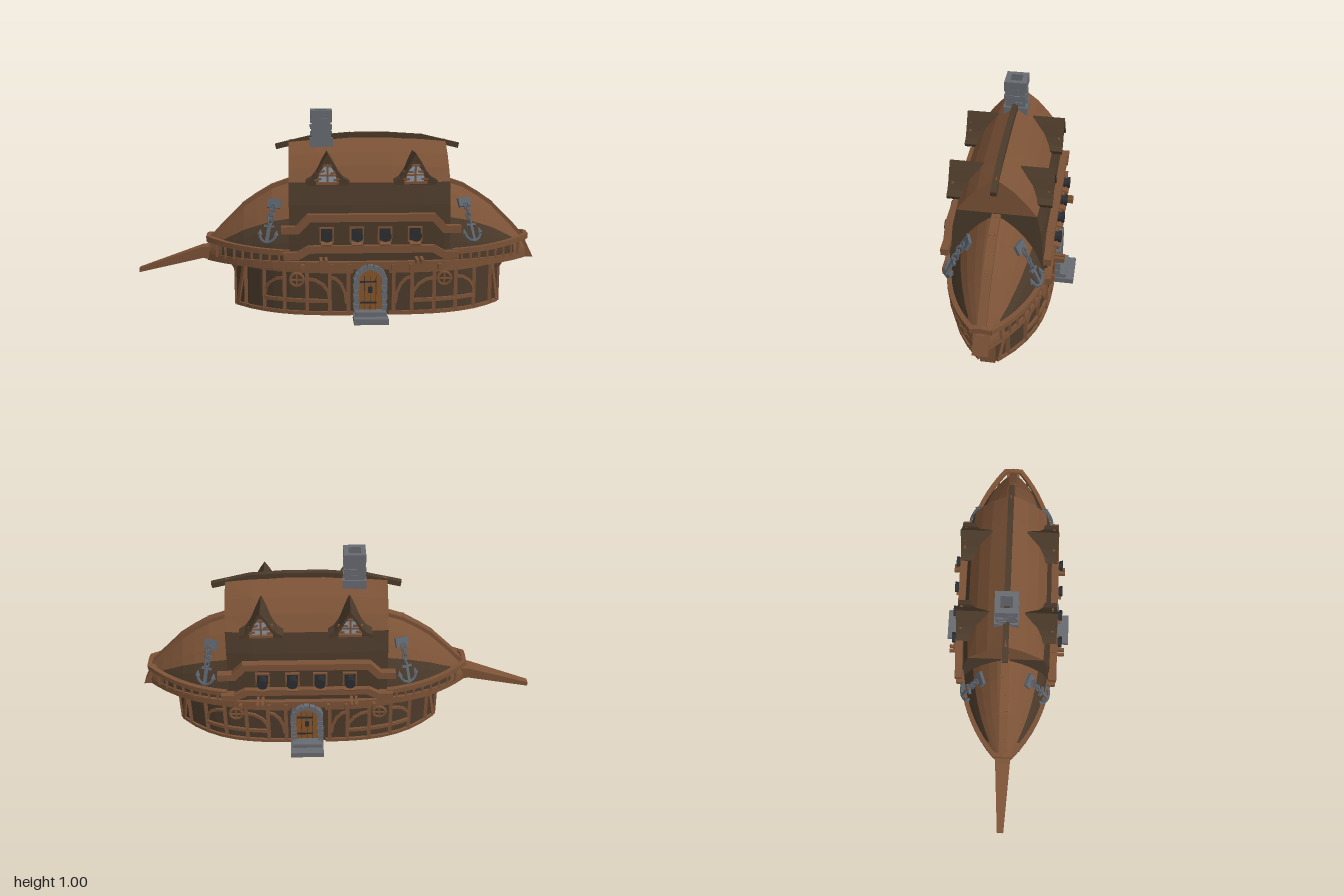
import * as THREE from 'three';

const CX = 0.155; // middle of the ship along x
const paint = (name, color) => new THREE.MeshStandardMaterial({ name, color, side: THREE.DoubleSide });
const wood = paint('brown timber', 0x7b5236), dark = paint('dark planks', 0x4b3a2a);
const stone = paint('grey stone', 0x676a70), iron = paint('black iron', 0x2b2d30);
const steel = paint('anchor steel', 0x5c636c), glass = paint('window glass', 0x8c98a6);
const doorWood = paint('door wood', 0x885529);

function add(parent, name, geo, mat, x = 0, y = 0, z = 0) {
  const m = new THREE.Mesh(geo, mat);
  m.name = name;
  m.position.set(x, y, z);
  parent.add(m);
  return m;
}
const box = (p, name, mat, w, h, d, x, y, z) => add(p, name, new THREE.BoxGeometry(w, h, d), mat, x, y, z);

// Square beam between two points, and a chain of them
function beam(p, name, mat, a, b, w, h) {
  const A = new THREE.Vector3(...a), B = new THREE.Vector3(...b);
  const m = box(p, name, mat, w, h, A.distanceTo(B) + w * 0.4, 0, 0, 0);
  m.position.copy(A).lerp(B, 0.5);
  m.lookAt(B);
  return m;
}
const path = (p, name, mat, pts, w, h) => pts.slice(1).forEach((q, i) => beam(p, name, mat, pts[i], q, w, h));

// Surface through rows of points, with hard facets
function loft(p, name, mat, rows) {
  const v = [];
  for (let i = 0; i + 1 < rows.length; i++) for (let j = 0; j + 1 < rows[i].length; j++) {
    const a = rows[i][j], b = rows[i + 1][j], c = rows[i + 1][j + 1], d = rows[i][j + 1];
    v.push(...a, ...b, ...c, ...a, ...c, ...d);
  }
  const g = new THREE.BufferGeometry();
  g.setAttribute('position', new THREE.Float32BufferAttribute(v, 3));
  g.computeVertexNormals();
  return add(p, name, g, mat);
}
const shapeOf = pts => new THREE.Shape(pts.map(q => new THREE.Vector2(...q)));
const extrude = (s, depth) => new THREE.ExtrudeGeometry(s, { depth, bevelEnabled: false, curveSegments: 8 });

// Half width of the boat-shaped plan at x
const width = (x, L, W) => 0.03 + (W - 0.03) * (1 - Math.min(1, Math.abs((x - CX) / L)) ** 3.5);
function outline(L, W, n = 20) {
  const top = [];
  for (let i = 0; i <= n; i++) {
    const x = CX - L * Math.cos(Math.PI * i / n);
    top.push([x, width(x, L, W)]);
  }
  return [...top, ...top.slice().reverse().map(([x, z]) => [x, -z])];
}
const wallZ = x => width(x, 0.67, 0.235);

// Height of the hull ridge by distance from the middle
const RIDGE = [[0.36, 0.655], [0.395, 0.65], [0.48, 0.62], [0.555, 0.575], [0.62, 0.53], [0.675, 0.475], [0.73, 0.42], [0.775, 0.37], [0.8, 0.34]];
function hullPoint([d, h], s, v) {
  return [CX + s * d, 0.285 + (h - 0.285) * v, width(CX + d, 0.81, 0.232) * (1 - v * v) ** 0.8];
}
const ROOF = [[0.285, 0.225], [0.45, 0.222], [0.56, 0.213], [0.665, 0.19], [0.74, 0.145], [0.8, 0.09], [0.868, 0]];

function buildAnchor(p, s) {
  const g = new THREE.Group();
  g.name = 'anchor';
  box(g, 'anchorPlate', steel, 0.065, 0.045, 0.015, 0, 0.2, 0);
  for (let i = 0; i < 4; i++) {
    const l = add(g, 'chainLink', new THREE.TorusGeometry(0.014, 0.005, 5, 8), steel, 0, 0.175 - i * 0.024, 0.014);
    l.scale.y = 1.3;
    l.rotation.y = i % 2 ? 1.1 : 0.2;
  }
  box(g, 'anchorShank', steel, 0.014, 0.1, 0.014, 0, 0.045, 0.012);
  box(g, 'anchorStock', steel, 0.05, 0.011, 0.014, 0, 0.08, 0.012);
  const arc = add(g, 'anchorArms', new THREE.TorusGeometry(0.042, 0.008, 5, 10, Math.PI), steel, 0, 0.042, 0.012);
  arc.rotation.z = Math.PI;
  for (const t of [-1, 1]) {
    add(g, 'anchorFluke', new THREE.ConeGeometry(0.015, 0.03, 4), steel, t * 0.042, 0.05, 0.012);
  }
  const B = new THREE.Vector3(CX + s * 0.5, 0.375, 0.205), A = new THREE.Vector3(CX + s * 0.465, 0.56, 0.115);
  const up = A.sub(B).normalize(), out = new THREE.Vector3(s * 0.3, 0.4, 0.85);
  const right = new THREE.Vector3().crossVectors(up, out).normalize();
  out.crossVectors(right, up);
  g.quaternion.setFromRotationMatrix(new THREE.Matrix4().makeBasis(right, up, out));
  g.position.copy(B);
  p.add(g);
}

function buildDormer(p, x) {
  const g = new THREE.Group();
  g.name = 'dormer';
  g.position.x = x;
  const edge = [[0, 0.808], [0.025, 0.77], [0.05, 0.725], [0.075, 0.695], [0.105, 0.68]];
  const left = edge.slice(1).reverse().map(([a, b]) => [-a, b]);
  const top = [...left, ...edge], under = top.map(([a, b]) => [a * 0.93, b - 0.019]).reverse();
  add(g, 'dormerRoof', extrude(shapeOf([...top, ...under]), 0.155), dark, 0, 0, 0.085);
  add(g, 'dormerFace', extrude(shapeOf([...under, [-0.09, 0.655], [0.09, 0.655]]), 0.12), dark, 0, 0, 0.095);
  const pane = new THREE.Shape().moveTo(-0.042, 0.67).lineTo(0.042, 0.67).lineTo(0.042, 0.695)
    .quadraticCurveTo(0.035, 0.735, 0, 0.755).quadraticCurveTo(-0.035, 0.735, -0.042, 0.695);
  add(g, 'dormerWindow', extrude(pane, 0.006), glass, 0, 0, 0.213);
  box(g, 'windowBar', wood, 0.009, 0.09, 0.01, 0, 0.71, 0.219);
  box(g, 'windowBar', wood, 0.085, 0.007, 0.01, 0, 0.705, 0.219);
  box(g, 'windowSill', wood, 0.11, 0.012, 0.025, 0, 0.668, 0.219);
  for (const t of [-1, 1]) path(g, 'windowFrame', wood, [[t * 0.046, 0.67, 0.219], [t * 0.044, 0.7, 0.219], [t * 0.027, 0.74, 0.219], [0, 0.762, 0.219]], 0.01, 0.01);
  p.add(g);
}

function buildDoor(p) {
  const x = 0.15, arch = new THREE.Shape().moveTo(-0.056, 0.03).lineTo(0.056, 0.03).lineTo(0.056, 0.19).absarc(0, 0.19, 0.056, 0, Math.PI, false);
  add(p, 'door', extrude(arch, 0.03), doorWood, x, 0, 0.222);
  for (const t of [-0.028, 0, 0.028]) box(p, 'doorGroove', dark, 0.003, 0.18, 0.004, x + t, 0.13, 0.252);
  for (const y of [0.085, 0.19]) box(p, 'doorHinge', iron, 0.08, 0.008, 0.006, x - 0.01, y, 0.254);
  box(p, 'doorLight', iron, 0.02, 0.03, 0.006, x, 0.15, 0.255);
  // Stone jambs and arch
  for (const t of [-1, 1]) for (let i = 0; i < 7; i++) {
    box(p, 'jambStone', stone, 0.022 + (i % 2) * 0.006, 0.022, 0.04, x + t * 0.068, 0.045 + i * 0.0235, 0.25);
  }
  for (let i = 0; i <= 8; i++) {
    const a = Math.PI * i / 8;
    const m = box(p, 'archStone', stone, 0.026, 0.026, 0.042, x + Math.cos(a) * 0.068, 0.195 + Math.sin(a) * 0.068, 0.25);
    m.rotation.z = a;
  }
  box(p, 'lowerStep', stone, 0.166, 0.028, 0.105, x, 0.014, 0.287);
  box(p, 'upperStep', stone, 0.15, 0.024, 0.07, x, 0.038, 0.265);
}

function buildCannon(p, x) {
  const y = 0.42;
  box(p, 'gunPort', iron, 0.055, 0.06, 0.008, x, y, 0.231);
  for (const t of [-1, 1]) {
    box(p, 'portFrame', wood, 0.008, 0.075, 0.016, x + t * 0.031, y, 0.234);
    box(p, 'portFrame', wood, 0.07, 0.008, 0.016, x, y + t * 0.034, 0.234);
  }
  const parts = [[0.019, 0.022, 0.06, 0.245], [0.028, 0.026, 0.016, 0.272], [0.024, 0.024, 0.01, 0.253]];
  for (const [r0, r1, l, z] of parts) {
    add(p, 'cannon', new THREE.CylinderGeometry(r0, r1, l, 10), iron, x, y, z).rotation.x = Math.PI / 2;
  }
  box(p, 'portLid', wood, 0.055, 0.007, 0.04, x, 0.38, 0.256).rotation.x = 0.2;
}

// Everything on one long side
function buildSide() {
  const g = new THREE.Group();
  g.name = 'shipSide';
  const wallPath = (name, pts, w = 0.018) => path(g, name, wood, pts.map(([x, y]) => [x, y, wallZ(x) + 0.002]), w, w);
  for (const s of [-1, 1]) {
    // Timber framing on the wall
    for (const d of [0.11, 0.2, 0.31, 0.42, 0.52, 0.615]) wallPath('wallPost', [[CX + s * d, 0.03], [CX + s * d, 0.25]]);
    const row = (name, y, a, b) => wallPath(name, Array.from({ length: 9 }, (_, i) => [CX + s * (a + (b - a) * i / 8), y]));
    row('sillBeam', 0.028, 0.09, 0.66);
    row('topBeam', 0.24, 0.09, 0.66);
    row('wallRail', 0.09, 0.2, 0.52);
    const brace = (a, b, y0, y1) => wallPath('curvedBrace', [0, 1, 2, 3, 4].map(i => {
      const t = i * Math.PI / 8;
      return [CX + s * (a + (b - a) * Math.sin(t)), y0 + (y1 - y0) * (1 - Math.cos(t))];
    }), 0.014);
    brace(0.31, 0.2, 0.2, 0.1);
    brace(0.42, 0.52, 0.2, 0.1);
    brace(0.2, 0.12, 0.21, 0.08);
    wallPath('slantBrace', [[CX + s * 0.655, 0.04], [CX + s * 0.62, 0.245]]);

    // Round window
    const rx = CX + s * 0.36, rz = wallZ(rx);
    add(g, 'roundWindow', new THREE.CylinderGeometry(0.03, 0.03, 0.02, 10), dark, rx, 0.195, rz).rotation.x = Math.PI / 2;
    add(g, 'roundWindowRing', new THREE.TorusGeometry(0.032, 0.008, 5, 12), wood, rx, 0.195, rz + 0.01);
    box(g, 'roundWindowBar', wood, 0.008, 0.06, 0.012, rx, 0.195, rz + 0.01);
    box(g, 'roundWindowBar', wood, 0.06, 0.008, 0.012, rx, 0.195, rz + 0.01);

    // Railing with balusters
    const rail = [];
    for (let i = 0; i <= 9; i++) {
      const d = 0.4 + 0.4 * i / 9, x = CX + s * d, z = width(x, 0.815, 0.24), y = 0.328 + 0.035 * (d / 0.8) ** 4;
      rail.push([x, y, z]);
      if (i < 9) beam(g, 'baluster', wood, [x, 0.28, z], [x, y, z], 0.011, 0.011);
    }
    path(g, 'handRail', wood, rail, 0.022, 0.026);
    beam(g, 'endRail', wood, rail[9], [rail[9][0], 0.368, 0], 0.022, 0.026);

    // Joist ends and brackets
    for (const t of [-0.012, 0.012]) box(g, 'joistEnd', wood, 0.014, 0.024, 0.08, CX + s * 0.23 + t, 0.297, 0.26);
    for (const d of [0.105, 0.19, 0.33]) box(g, 'bracket', wood, 0.015, 0.03, 0.025, CX + s * d, 0.262, 0.25);
    buildDormer(g, CX + s * 0.21);
    buildAnchor(g, s);
  }
  // Stepped trim around the gun deck
  const trim = (pts, z) => path(g, 'steppedTrim', wood, pts.map(([x, y]) => [x, y, z]), 0.036, 0.036);
  trim([[-0.27, 0.445], [-0.2, 0.445], [-0.145, 0.503], [0.455, 0.503], [0.51, 0.445], [0.58, 0.445]], 0.236);
  trim([[-0.26, 0.318], [-0.2, 0.318], [-0.145, 0.35], [0.455, 0.35], [0.51, 0.318], [0.57, 0.318]], 0.236);
  add(g, 'gunPanel', extrude(shapeOf([[-0.2, 0.29], [0.51, 0.29], [0.51, 0.445], [0.455, 0.5], [-0.145, 0.5], [-0.2, 0.445]]), 0.03), dark, 0, 0, 0.2);
  for (const x of [-0.06, 0.085, 0.22, 0.365]) buildCannon(g, x);
  buildDoor(g);
  return g;
}

export function createModel() {
  const model = new THREE.Group();
  model.name = 'shipHouse';

  // Hollow ground floor walls and the deck above
  const plan = outline(0.67, 0.235);
  loft(model, 'groundWall', dark, [[...plan, plan[0]].map(([x, z]) => [x, 0.02, z]), [...plan, plan[0]].map(([x, z]) => [x, 0.255, z])]);
  const deck = add(model, 'deck', extrude(shapeOf(outline(0.81, 0.25)), 0.037), wood, 0, 0.287, 0);
  deck.rotation.x = Math.PI / 2;

  // Sloping hull ends
  const vs = [0, 0.12, 0.25, 0.4, 0.55, 0.7, 0.84, 0.94, 1];
  for (const s of [-1, 1]) for (const m of [-1, 1]) {
    const part = (name, mat, stations, list) => loft(model, name, mat, stations.map(r => list.map(v => {
      const [x, y, z] = hullPoint(r, s, v);
      return [x, y, z * m];
    })));
    part('hullPlanks', dark, RIDGE.slice(0, 7), vs.slice(0, 5));
    part('hullBowPlanks', wood, RIDGE.slice(6), vs.slice(0, 5));
    part('hullTop', wood, RIDGE, vs.slice(4));
  }
  for (const s of [-1, 1]) {
    path(model, 'hullRidge', wood, RIDGE.map(([d, h]) => [CX + s * d, h, 0]), 0.04, 0.02);
    box(model, 'endPost', wood, 0.03, 0.235, 0.07, CX + s * 0.662, 0.137, 0);
    // Flared head of the end post
    const flare = [[0.2, 0.035, 0.675], [0.255, 0.06, 0.7]];
    loft(model, 'postHead', wood, flare.map(([y, z, d]) => [[CX + s * 0.64, y, -z], [CX + s * d, y, -z], [CX + s * d, y, z], [CX + s * 0.64, y, z]]));
  }

  // Main roof: dark below, brown above, with closed gables
  const bands = [[dark, ROOF.slice(0, 4), 'lowerRoof'], [wood, ROOF.slice(3), 'upperRoof']];
  for (const [mat, band, name] of bands) {
    for (const m of [-1, 1]) {
      loft(model, name, mat, [-0.24, -0.1, 0.05, 0.26, 0.41, 0.54].map((x, i) => {
        const k = [0.95, 0.99, 1, 1, 0.99, 0.95][i];
        return band.map(([y, z]) => [x, y > 0.7 ? y - (1 - k) * 0.3 : y, z * k * m]);
      }));
    }
    for (const x of [-0.24, 0.54]) {
      loft(model, name + 'Gable', mat, [-1, 1].map(m => band.map(([y, z]) => [x, y > 0.7 ? y - 0.015 : y, z * 0.95 * m])));
    }
  }
  path(model, 'ridgeBeam', dark, [[-0.3, 0.82, 0], [-0.14, 0.858, 0], [0.06, 0.875, 0], [0.25, 0.875, 0], [0.42, 0.864, 0], [0.6, 0.822, 0]], 0.028, 0.026);

  // Bowsprit and stern block
  const spar = [[-0.52, 0.25, 0.33, 0.045], [-0.68, 0.26, 0.318, 0.036], [-1, 0.185, 0.207, 0.016]];
  loft(model, 'bowsprit', wood, spar.map(([x, a, b, z]) => [[x, a, -z], [x, b, -z], [x, b, z], [x, a, z], [x, a, -z]]));
  box(model, 'bowspritTip', wood, 0.004, 0.022, 0.032, -0.998, 0.196, 0);
  add(model, 'sternBlock', extrude(shapeOf([[0.88, 0.25], [1, 0.25], [0.965, 0.32], [0.945, 0.365], [0.88, 0.34]]), 0.07), wood, 0, 0, -0.035);

  // Brick chimney, open at the top
  const ring = (r, h) => {
    const s = shapeOf([[-r, -r], [r, -r], [r, r], [-r, r]]);
    s.holes.push(shapeOf([[-0.028, -0.028], [-0.028, 0.028], [0.028, 0.028], [0.028, -0.028]]));
    return extrude(s, h);
  };
  [[0.057, 0.82, 0.045], [0.048, 0.865, 0.035], [0.05, 0.9, 0.025], [0.047, 0.925, 0.025], [0.053, 0.95, 0.05]].forEach(([r, y, h]) => {
    add(model, 'chimney', ring(r, h), stone, -0.08, y, 0).rotation.x = -Math.PI / 2;
  });
  for (let i = 0; i < 12; i++) {
    const a = i * Math.PI / 2, t = ((i * 5) % 7 - 3) * 0.009;
    const m = box(model, 'chimneyBrick', stone, 0.034, 0.022, 0.012, -0.08 + Math.sin(a) * 0.049 + Math.cos(a) * t, 0.88 + Math.floor(i / 4) * 0.034, Math.cos(a) * 0.049 - Math.sin(a) * t);
    m.rotation.y = a;
  }

  // The far side is the near side turned half round the middle
  const front = buildSide(), back = front.clone();
  back.rotation.y = Math.PI;
  back.position.x = 2 * CX;
  model.add(front, back);
  return model;
}
